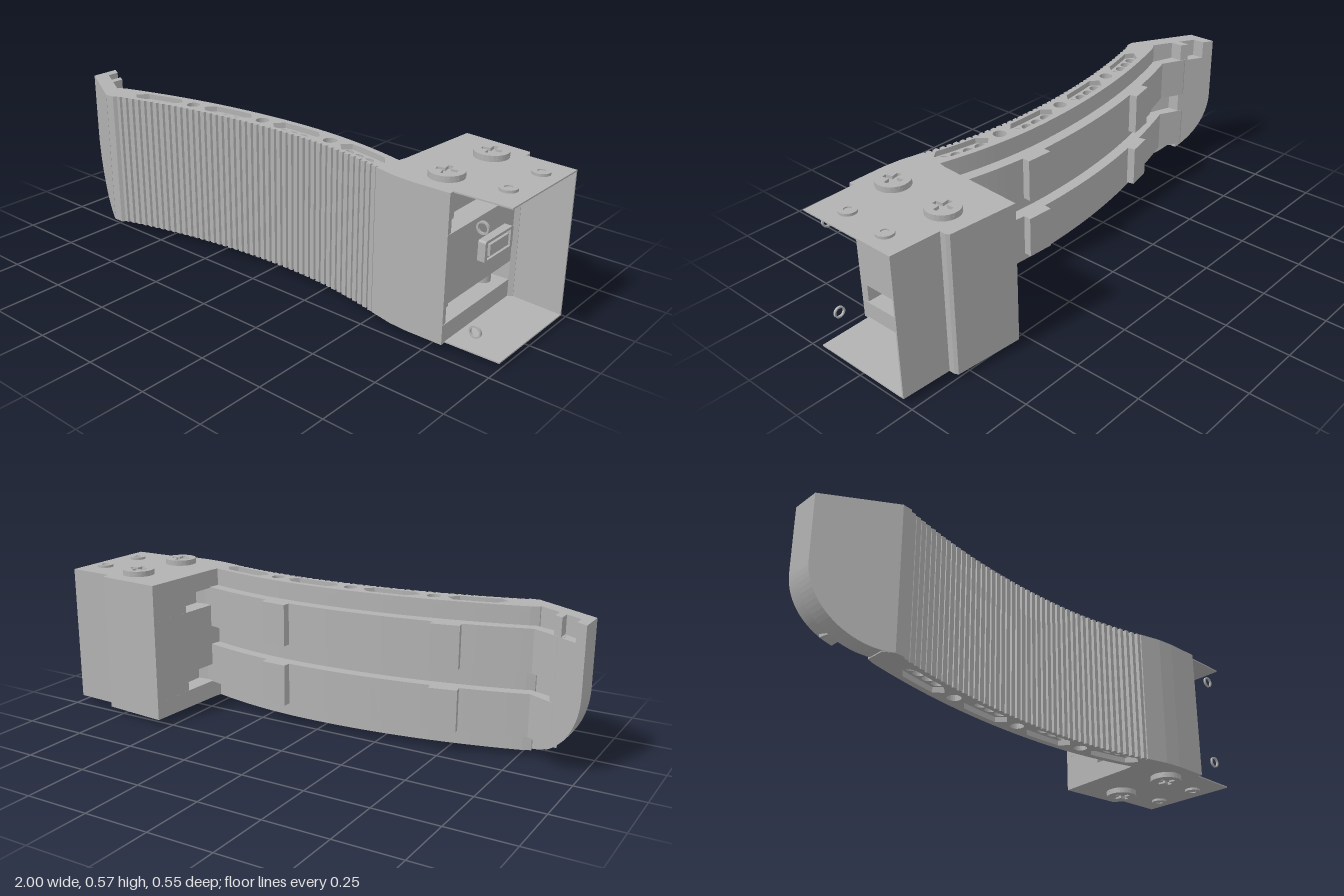
import * as THREE from 'three';

const Y0 = 0.022, Y1 = 0.553, MID = (Y0 + Y1) / 2;

// Curved centre line of the grip, and the straight slope of its tip
const centre = x => 0.085 + (x < 0.07 ? 0.19 : 0.3) * (x - 0.07) ** 2;
const slope = x => (x < 0.07 ? 0.38 : 0.6) * (x - 0.07);
const tipFront = x => 0.6925 + 0.5625 * x;
const range = (a, b, n) => Array.from({ length: n + 1 }, (_, i) => a + (b - a) * i / n);

export function createModel() {
  const model = new THREE.Group();
  const grey = new THREE.MeshStandardMaterial({ color: 0xb2b2b2 });
  grey.name = 'grey';
  grey.side = THREE.DoubleSide;

  const add = (name, geo, x = 0, y = 0, z = 0) => {
    const mesh = new THREE.Mesh(geo, grey);
    mesh.name = name;
    mesh.position.set(x, y, z);
    model.add(mesh);
    return mesh;
  };
  // Extrudes an outline of [x, z] points from y0 up to y1
  const extrudeUp = (shape, y0, y1) => {
    const g = new THREE.ExtrudeGeometry(shape, { depth: y1 - y0, bevelEnabled: false, curveSegments: 12 });
    return g.rotateX(-Math.PI / 2).translate(0, y0, 0);
  };
  const outline = pts => pts.map(([x, z]) => new THREE.Vector2(x, -z));
  const slab = (name, pts, y0, y1, holes = []) => {
    const shape = new THREE.Shape(outline(pts));
    shape.holes.push(...holes);
    return add(name, extrudeUp(shape, y0, y1));
  };
  const roundHole = (x, r) => new THREE.Path().absarc(x, -centre(x), r, 0, Math.PI * 2, true);
  const slotHole = (a, b, r) => {
    const xs = range(a + r, b - r, 6);
    const upper = xs.map(x => [x, centre(x) - r]);
    const lower = xs.map(x => [x, centre(x) + r]).reverse();
    return new THREE.Path(outline([...upper, [b, centre(b)], ...lower, [a, centre(a)]]));
  };

  // Grip spine with a ribbed front, drilled through, with pocketed ends
  const ribs = [];
  range(-0.71, 0.48, 44).forEach(x => {
    const z = centre(x) + 0.052;
    ribs.push([x, z], [x + 0.016, z], [x + 0.019, z - 0.009], [x + 0.025, z - 0.009]);
  });
  const spine = [
    [-0.79, 0.246], [-0.755, 0.267], [-0.72, 0.264], ...ribs, [0.56, 0.2],
    ...range(0.56, -0.76, 36).map(x => [x, centre(x) - 0.055]), [-0.79, 0.175],
  ];
  const slots = [[-0.67, -0.46], [-0.36, -0.14], [-0.04, 0.18], [0.28, 0.5]];
  const singles = [-0.41, -0.09, 0.23];
  const drilled = () => singles.map(x => roundHole(x, 0.025));
  const bores = slots.flatMap(([a, b]) => range(a + 0.036, b - 0.036, 3).map(x => roundHole(x, 0.021)));
  const pocketed = () => [...drilled(), ...slots.map(([a, b]) => slotHole(a, b, 0.031))];
  slab('gripBottomSkin', spine, Y0, Y0 + 0.02, pocketed());
  slab('gripCore', spine, Y0 + 0.02, Y1 - 0.02, [...drilled(), ...bores]);
  slab('gripTopSkin', spine, Y1 - 0.02, Y1, pocketed());

  // Two raised rails on the back, each with two pads
  const rail = [
    ...range(-0.79, 0.56, 36).map(x => [x, centre(x) - 0.1]),
    ...range(0.56, -0.76, 36).map(x => [x, centre(x) - 0.04]),
    [-0.9, tipFront(-0.9) - 0.06], [-0.91, tipFront(-0.91) - 0.1], [-0.885, tipFront(-0.885) - 0.115],
  ];
  for (const s of [-1, 1]) {
    const y = MID + s * 0.118;
    slab('backRail', rail, y - 0.08, y + 0.08);
    for (const x of [-0.5, 0.168]) {
      const pad = add('railPad', new THREE.BoxGeometry(0.105, 0.16, 0.06), x, y, centre(x) - 0.1);
      pad.rotation.y = -Math.atan(slope(x));
    }
  }

  // Slanted tip with one rounded lower corner; the rear lip has a notch on top
  const tipPlate = (name, xEnd, z, depth, notch) => {
    const s = new THREE.Shape().moveTo(-1, 0.31);
    if (xEnd > -0.8) s.bezierCurveTo(-1, 0.15, -0.87, Y0, xEnd, Y0);
    else s.bezierCurveTo(-1, 0.21, -0.95, 0.12, xEnd, 0.071);
    s.lineTo(xEnd, Y1);
    if (notch) {
      s.lineTo(-0.9, Y1).lineTo(-0.9, Y1 - 0.07).lineTo(-0.96, Y1 - 0.07).lineTo(-0.96, Y1);
    }
    s.lineTo(-1, Y1);
    const g = new THREE.ExtrudeGeometry(s, { depth, bevelEnabled: false, curveSegments: 24 });
    g.applyMatrix4(new THREE.Matrix4().set(1, 0, 0, 0, 0, 1, 0, 0, 0.5625, 0, 1, 0.6925 + z, 0, 0, 0, 1));
    add(name, g);
  };
  tipPlate('tipPlate', -0.755, -0.065, 0.065, false);
  tipPlate('tipLip', -0.87, -0.112, 0.047, true);

  // Head block in layers, with recesses on both sides at two heights
  const front = [[0.8, 0.215], [0.66, 0.216], [0.59, 0.21], [0.5, 0.19], [0.525, 0.06]];
  const back = [[0.545, -0.28], [0.805, -0.258], [0.812, -0.245], [0.812, -0.215], [0.795, -0.205]];
  const solid = [...front, ...back];
  const recessed = [
    [0.795, 0.19], ...front, [0.6, 0.05], [0.6, -0.1], [0.535, -0.1], ...back,
    [0.64, -0.2], [0.63, -0.19], [0.63, 0.18], [0.64, 0.19],
  ];
  const levels = [Y0, 0.092, 0.164, 0.411, 0.482, Y1];
  for (let i = 0; i < 5; i++) slab('headBlock', i % 2 ? recessed : solid, levels[i], levels[i + 1]);

  // Thin sheet housing, open at the front and the end
  const sheet = [[0.78, 0.195], [1, 0.19], [1, -0.213], [0.78, -0.224]];
  slab('housingTop', sheet, Y1 - 0.005, Y1);
  slab('housingBottom', sheet, Y0, Y0 + 0.005);
  slab('housingBack', [[0.8, -0.223], [1, -0.213], [1, -0.207], [0.8, -0.217]], Y0, Y1);

  // Cross-head screws and ring rivets, mirrored top and bottom
  const crossHole = () => {
    const a = 0.036, b = 0.009;
    const pts = [[a, b], [b, b], [b, a], [-b, a], [-b, b], [-a, b], [-a, -b], [-b, -b], [-b, -a], [b, -a], [b, -b], [a, -b]];
    return new THREE.Path(pts.map(([x, y]) => new THREE.Vector2(x, y)).reverse());
  };
  const disc = (r, hole) => {
    const s = new THREE.Shape().absarc(0, 0, r, 0, Math.PI * 2, false);
    s.holes.push(hole);
    return s;
  };
  const ring = (r, inner) => disc(r, new THREE.Path().absarc(0, 0, inner, 0, Math.PI * 2, true));
  for (const [x, z, turn] of [[0.725, -0.145, 0.1], [0.712, 0.102, 0.2]]) {
    add('screwShaft', new THREE.CylinderGeometry(0.03, 0.03, Y1 - Y0 - 0.02, 24), x, MID, z);
    for (const s of [-1, 1]) {
      add('screwBase', new THREE.CylinderGeometry(0.061, 0.061, 0.01, 32), x, MID + s * 0.27, z);
      const y = MID + s * 0.2805;
      add('screwHead', extrudeUp(disc(0.061, crossHole()), -0.006, 0.006), x, y, z).rotation.y = turn;
    }
  }
  for (const [x, z] of [[0.928, -0.11], [0.918, 0.075]]) {
    for (const s of [-1, 1]) {
      add('ringRivet', extrudeUp(ring(0.031, 0.014), -0.005, 0.005), x, MID + s * 0.27, z);
      add('rivetCentre', new THREE.CylinderGeometry(0.014, 0.014, 0.006, 20), x, MID + s * 0.268, z);
    }
  }
  // Small rivets along the open front edge
  for (const y of [0.108, 0.467]) {
    add('frontRivet', extrudeUp(ring(0.022, 0.016), -0.004, 0.004), 0.912, y, 0.2).rotation.x = Math.PI / 2;
  }

  // Rocker switch on the end wall: frame, bezel and rocker
  const frame = new THREE.Shape();
  const w = 0.0875, h = 0.04, r = 0.01;
  frame.moveTo(-w + r, -h).lineTo(w - r, -h).quadraticCurveTo(w, -h, w, -h + r).lineTo(w, h - r)
    .quadraticCurveTo(w, h, w - r, h).lineTo(-w + r, h).quadraticCurveTo(-w, h, -w, h - r)
    .lineTo(-w, -h + r).quadraticCurveTo(-w, -h, -w + r, -h);
  const box = (a, b) => new THREE.Path([[-a, -b], [-a, b], [a, b], [a, -b]].map(p => new THREE.Vector2(...p)));
  frame.holes.push(box(0.073, 0.031));
  const frameGeo = new THREE.ExtrudeGeometry(frame, { depth: 0.033, bevelEnabled: false }).rotateY(Math.PI / 2);
  add('switchFrame', frameGeo, 0.793, MID, -0.0625);
  add('switchBed', new THREE.BoxGeometry(0.02, 0.062, 0.118), 0.807, MID, -0.0625);
  add('switchRocker', new THREE.BoxGeometry(0.02, 0.042, 0.115), 0.817, MID, -0.0625);

  return model;
}
